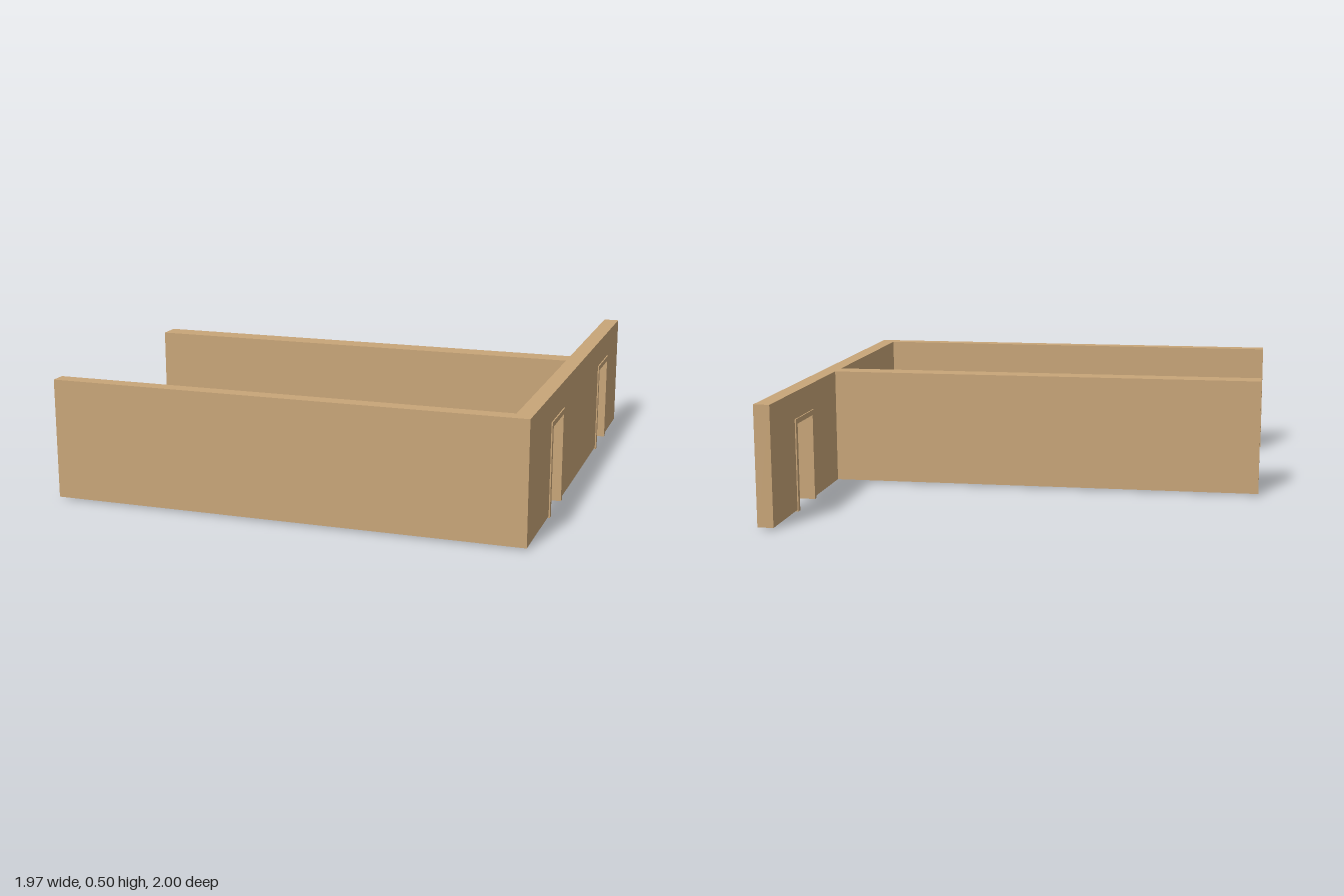
import * as THREE from 'three';

const BOTTOM = 0.007, TOP = 0.505;
const DOORS = [0.478, -0.573]; // doorway centres along z
const HALF = 0.102, HEAD = 0.37, TRIM = 0.022;

// Extrude a (z, y) outline across the x range x0..x1
function slab(points, x0, x1) {
  const shape = new THREE.Shape(points.map(([z, y]) => new THREE.Vector2(z, y)));
  const geo = new THREE.ExtrudeGeometry(shape, { depth: x1 - x0, bevelEnabled: false });
  geo.rotateY(-Math.PI / 2);
  geo.translate(x1, 0, 0);
  return geo;
}

export function createModel() {
  const group = new THREE.Group();
  const material = new THREE.MeshStandardMaterial({ color: 0xc8a578 });
  const add = (name, geo) => {
    const mesh = new THREE.Mesh(geo, material);
    mesh.name = name;
    group.add(mesh);
  };

  // Long walls running along x
  const longWall = (name, x1, z0, z1) => {
    const geo = new THREE.BoxGeometry(x1 + 0.987, TOP - BOTTOM, z1 - z0);
    geo.translate((x1 - 0.987) / 2, (TOP + BOTTOM) / 2, (z0 + z1) / 2);
    add(name, geo);
  };
  longWall('frontWall', 0.915, 0.934, 1);
  longWall('middleWall', 0.915, -0.11, -0.015);

  // Side wall, notched for the two doorways
  const outline = [[1, BOTTOM], [1, TOP], [-1, TOP], [-1, BOTTOM]];
  const cut = HALF + TRIM / 2, cutTop = HEAD + TRIM / 2;
  for (const z of [...DOORS].reverse()) {
    outline.push([z - cut, BOTTOM], [z - cut, cutTop], [z + cut, cutTop], [z + cut, BOTTOM]);
  }
  add('sideWall', slab(outline, 0.915, 0.982));

  // Door frames, standing slightly proud of both wall faces
  for (const z of DOORS) {
    const o = HALF + TRIM;
    add('doorFrame', slab([
      [z - o, 0], [z - HALF, 0], [z - HALF, HEAD], [z + HALF, HEAD],
      [z + HALF, 0], [z + o, 0], [z + o, HEAD + TRIM], [z - o, HEAD + TRIM],
    ], 0.91, 0.987));
  }
  return group;
}
